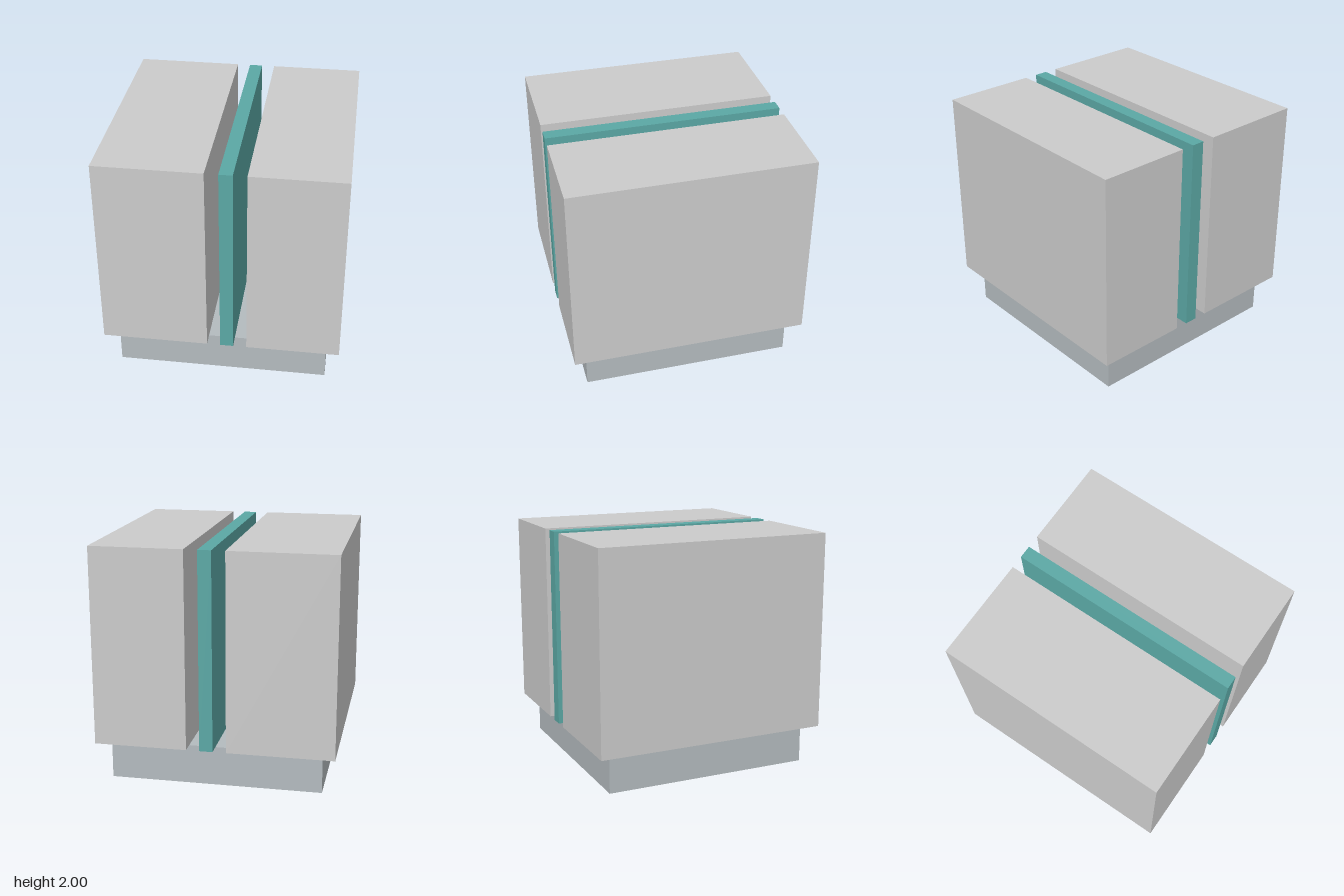
import * as THREE from 'three';

const U = 1 / 9; // the whole model sits on a grid of ninths

function block(name, color, [x0, x1], [y0, y1], [z0, z1]) {
  const geometry = new THREE.BoxGeometry((x1 - x0) * U, (y1 - y0) * U, (z1 - z0) * U);
  const mesh = new THREE.Mesh(geometry, new THREE.MeshStandardMaterial({ color, flatShading: true }));
  mesh.name = name;
  mesh.position.set((x0 + x1) * U / 2, (y0 + y1) * U / 2, (z0 + z1) * U / 2);
  return mesh;
}

export function createModel() {
  const model = new THREE.Group();
  model.name = 'slottedBlock';

  const height = [3, 18];
  const depth = [-9, 9];

  model.add(
    // Recessed plinth
    block('base', 0xb4bbbf, [-8, 8], [0, 3], [-8, 8]),
    // Two large blocks, the right one slightly wider
    block('rightBlock', 0xcccccc, [-9, -1], height, depth),
    block('leftBlock', 0xcccccc, [2, 9], height, depth),
    // Thin coloured slab standing in the gap
    block('centerSlab', 0x5ba8a5, [0, 1], height, depth),
  );
  return model;
}
